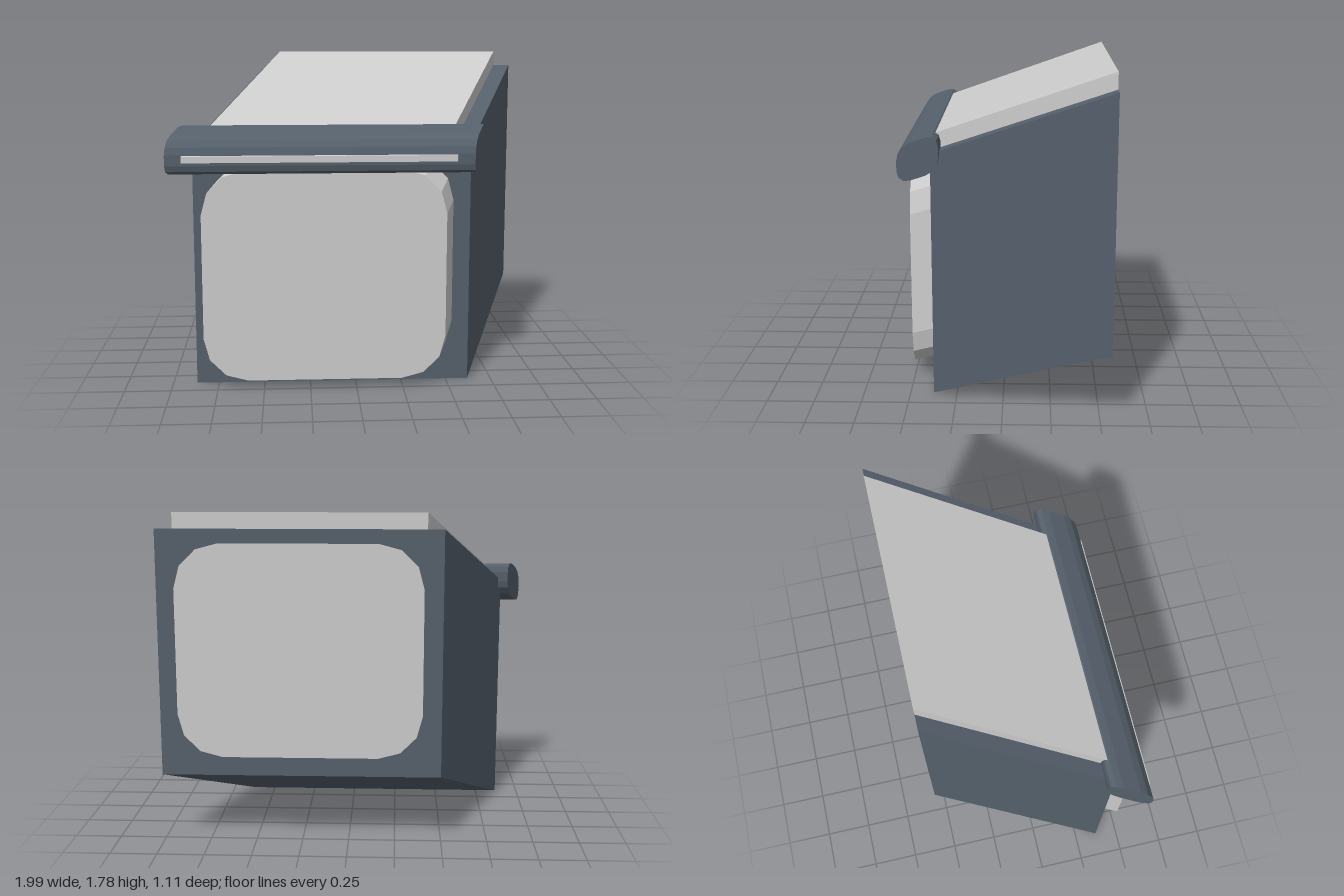
import * as THREE from 'three';

const SHEAR = 0.405;   // shift in x and y per unit of depth
const FRONT = 0.375;   // depth of the cabinet face, where the shift is zero
const BACK = -0.552;

// Oblique projection: everything slides right and up as it goes back.
function oblique(geometry) {
  const m = new THREE.Matrix4().set(
    1, 0, -SHEAR, SHEAR * FRONT,
    0, 1, -SHEAR, SHEAR * FRONT,
    0, 0, 1, 0,
    0, 0, 0, 1);
  geometry.applyMatrix4(m);
  geometry.computeVertexNormals();
  return geometry;
}

function block(x0, x1, y0, y1, z0, z1) {
  return new THREE.BoxGeometry(x1 - x0, y1 - y0, z1 - z0)
    .translate((x0 + x1) / 2, (y0 + y1) / 2, (z0 + z1) / 2);
}

// Rectangle whose corners are arcs of three straight segments.
function roundedPrism(x0, x1, y0, y1, r, depth) {
  const s = new THREE.Shape();
  s.absarc(x1 - r, y0 + r, r, -Math.PI / 2, 0);
  s.absarc(x1 - r, y1 - r, r, 0, Math.PI / 2);
  s.absarc(x0 + r, y1 - r, r, Math.PI / 2, Math.PI);
  s.absarc(x0 + r, y0 + r, r, Math.PI, Math.PI * 1.5);
  s.closePath();
  // absarc samples twice the curve segments, so take the corner points directly
  const pts = [];
  [[x1 - r, y0 + r, -1], [x1 - r, y1 - r, 0], [x0 + r, y1 - r, 1], [x0 + r, y0 + r, 2]].forEach(([cx, cy, q]) => {
    for (let i = 0; i <= 3; i++) {
      const a = (q + i / 3) * Math.PI / 2;
      pts.push(new THREE.Vector2(cx + r * Math.cos(a), cy + r * Math.sin(a)));
    }
  });
  return new THREE.ExtrudeGeometry(new THREE.Shape(pts), { depth, bevelEnabled: false });
}

export function createModel() {
  const group = new THREE.Group();
  const dark = new THREE.MeshStandardMaterial({ color: 0x55606b, flatShading: true });
  const light = new THREE.MeshStandardMaterial({ color: 0xcccccc, flatShading: true });
  const white = new THREE.MeshStandardMaterial({ color: 0xf2f4f4, flatShading: true });

  const add = (name, geometry, material) => {
    const mesh = new THREE.Mesh(oblique(geometry), material);
    mesh.name = name;
    group.add(mesh);
  };

  // Main body
  add('cabinet', block(-0.87, 0.622, 0, 1.315, BACK, FRONT), dark);

  // Rounded core running through the body, proud at the front
  const core = roundedPrism(-0.77, 0.53, 0.1, 1.24, 0.235, 0.5 - BACK + 0.001);
  add('roundedPanel', core.translate(0, 0, BACK - 0.001), light);

  // Slab on top
  add('topSlab', block(-0.783, 0.528, 1.3, 1.4, BACK, 0.4), light);

  // Rounded bar across the upper front edge
  const bar = roundedPrism(-0.548, -0.325, 1.222, 1.418, 0.07, 0.927 + 0.687);
  add('frontBar', bar.rotateY(Math.PI / 2).translate(-0.927, 0, 0), dark);

  // Thin strip along the bar
  add('barStrip', block(-0.839, 0.596, 1.311, 1.345, 0.5, 0.555), white);

  return group;
}
